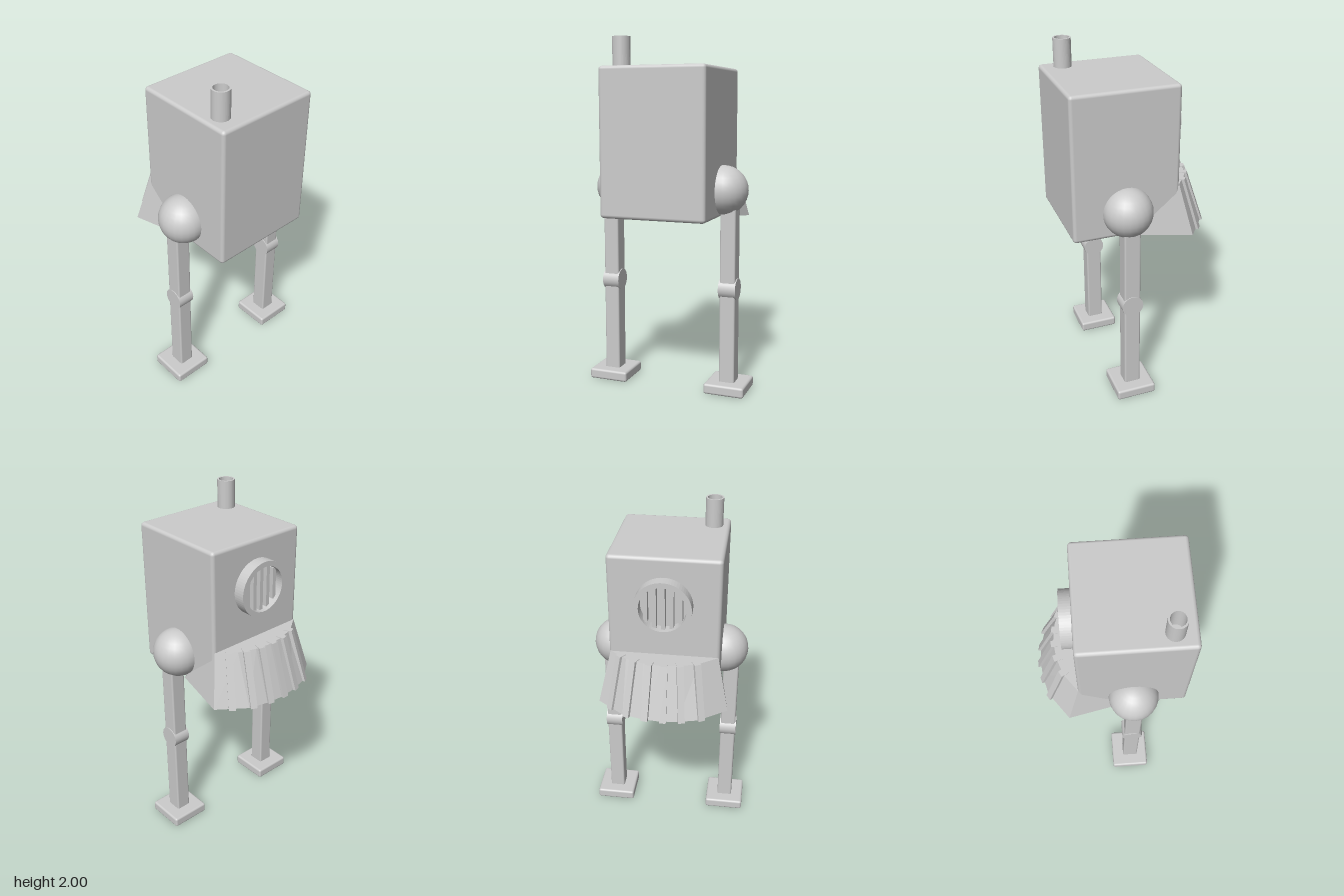
import * as THREE from 'three';
import { RoundedBoxGeometry } from 'three/addons/geometries/RoundedBoxGeometry.js';

const material = new THREE.MeshStandardMaterial({ color: 0xcccccc });
const flat = new THREE.MeshStandardMaterial({ color: 0xcccccc, flatShading: true, side: THREE.DoubleSide });

function add(parent, name, geometry, x = 0, y = 0, z = 0, mat = material) {
  const mesh = new THREE.Mesh(geometry, mat);
  mesh.name = name;
  mesh.position.set(x, y, z);
  parent.add(mesh);
  return mesh;
}

// Short open tube with a square rim, running along y from 0 to h
function ring(outer, inner, h, sides) {
  const shape = new THREE.Shape().absarc(0, 0, outer, 0, Math.PI * 2);
  shape.holes.push(new THREE.Path().absarc(0, 0, inner, 0, Math.PI * 2, true));
  return new THREE.ExtrudeGeometry(shape, { depth: h, bevelEnabled: false, curveSegments: sides })
    .rotateX(-Math.PI / 2);
}

// Surface from a list of quads, each given by four points
function quads(list) {
  const pos = [];
  for (const [a, b, c, d] of list) for (const p of [a, b, c, a, c, d]) pos.push(...p);
  const g = new THREE.BufferGeometry();
  g.setAttribute('position', new THREE.Float32BufferAttribute(pos, 3));
  g.computeVertexNormals();
  return g;
}

// Solid between two four-point loops
function prism(a, b) {
  const sides = a.map((p, i) => [p, a[(i + 1) % 4], b[(i + 1) % 4], b[i]]);
  return quads([...sides, [a[3], a[2], a[1], a[0]], b]);
}

// Half outline of the flared skirt: [x, z] at its top and bottom edges
const topHalf = [[0.3, -0.19], [0.2, -0.265], [0.1, -0.3], [0, -0.312]];
const bottomHalf = [[0.365, -0.255], [0.21, -0.37], [0.1, -0.398], [0, -0.408]];
const mirrored = half => [...half.map(([x, z]) => [-x, z]), ...half.slice(0, -1).reverse()];
const TOP = 1.27, BOTTOM = 0.97;

// z of an outline at a given x
function zAt(half, x) {
  const ax = Math.abs(x);
  let i = 0;
  while (i < half.length - 2 && ax < half[i + 1][0]) i++;
  const [[x0, z0], [x1, z1]] = [half[i], half[i + 1]];
  return z0 + (z1 - z0) * (ax - x0) / (x1 - x0);
}

function buildSkirt() {
  const skirt = new THREE.Group();
  skirt.name = 'skirt';
  const top = mirrored(topHalf).map(([x, z]) => [x, TOP, z]);
  const bottom = mirrored(bottomHalf).map(([x, z]) => [x, BOTTOM, z]);
  const wall = top.map(p => [p[0], TOP, -0.18]);
  const front = top.map(p => [p[0] * 1.03, 1.005, 0.07]);
  const faces = [];
  for (let i = 0; i < top.length - 1; i++) {
    faces.push([top[i], top[i + 1], bottom[i + 1], bottom[i]]);
    faces.push([wall[i], wall[i + 1], top[i + 1], top[i]]);
    faces.push([bottom[i], bottom[i + 1], front[i + 1], front[i]]);
  }
  // Triangular cheeks at both ends
  const n = top.length - 1;
  faces.push([top[0], bottom[0], front[0], wall[0]], [top[n], wall[n], front[n], bottom[n]]);
  add(skirt, 'skirtShell', quads(faces), 0.003, 0, 0, flat);

  // Raised ribs following the slope
  for (const xb of [-0.225, -0.12, -0.02, 0.08, 0.185, 0.285]) {
    const xt = xb * 0.84;
    const turn = -xb * 2.3;
    const loop = (x, z, y) => [[-0.019, 0.03], [0.019, 0.03], [0.019, -0.016], [-0.019, -0.016]]
      .map(([u, v]) => [x + u * Math.cos(turn) + v * Math.sin(turn), y, z - u * Math.sin(turn) + v * Math.cos(turn)]);
    add(skirt, 'skirtRib', prism(
      loop(xb, zAt(bottomHalf, xb), BOTTOM - 0.002),
      loop(xt, zAt(topHalf, xt), TOP + 0.003)), 0.003, 0, 0, flat);
  }
  return skirt;
}

function buildVent() {
  const vent = new THREE.Group();
  vent.name = 'vent';
  vent.position.set(0.004, 1.575, -0.185);
  add(vent, 'ventRing', ring(0.157, 0.128, 0.071, 32).rotateX(-Math.PI / 2));
  // Upright bars trimmed to the round opening
  for (let i = -2; i <= 2; i++) {
    const x = i * 0.047;
    const h = 2 * Math.sqrt(0.13 ** 2 - x * x);
    add(vent, 'ventBar', new THREE.BoxGeometry(0.022, h, 0.045), x, 0, -0.0225);
  }
  return vent;
}

function buildLeg(side) {
  const leg = new THREE.Group();
  leg.name = side > 0 ? 'leftLeg' : 'rightLeg';
  const x = side * 0.358;
  add(leg, 'hip', new THREE.SphereGeometry(0.14, 24, 16), side * 0.315 + 0.003, 1.16, 0.115);
  add(leg, 'upperLeg', new RoundedBoxGeometry(0.09, 0.52, 0.095, 2, 0.01), x, 0.86, 0.117);
  add(leg, 'lowerLeg', new RoundedBoxGeometry(0.09, 0.56, 0.095, 2, 0.01), x, 0.33, 0.117);
  add(leg, 'knee', new THREE.CylinderGeometry(0.062, 0.062, 0.1, 24).rotateZ(Math.PI / 2), x, 0.6, 0.117);
  add(leg, 'foot', new RoundedBoxGeometry(0.235, 0.06, 0.233, 2, 0.013), x, 0.03, 0.115);
  return leg;
}

export function createModel() {
  const model = new THREE.Group();
  model.name = 'walkingBox';
  add(model, 'body', new RoundedBoxGeometry(0.613, 0.83, 0.612, 2, 0.02), 0.003, 1.425, 0.115);
  add(model, 'chimney', ring(0.05, 0.04, 0.17, 24), -0.214, 1.83, 0.302);
  model.add(buildVent(), buildSkirt(), buildLeg(1), buildLeg(-1));
  return model;
}
